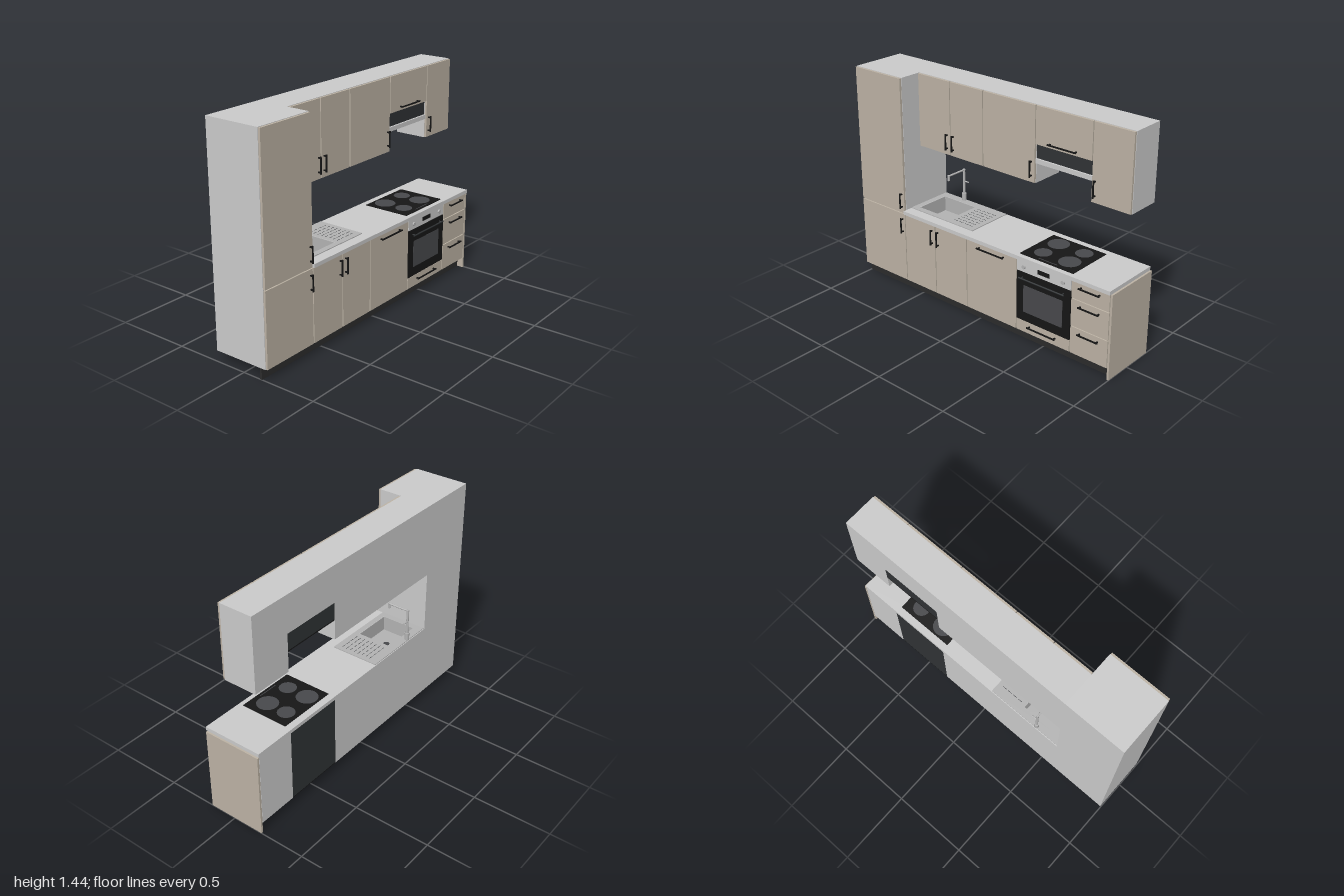
import * as THREE from 'three';

const mat = (color) => new THREE.MeshStandardMaterial({ color });
const GREY = mat(0xcccccc), BEIGE = mat(0xbdb3a5), BLACK = mat(0x161616), DARK = mat(0x303335);
const PLINTH = mat(0x2c2c2c), GLASS = mat(0x48494c), STEEL = mat(0xb4b4b4);
const BACK = -0.205, BASE_Z = 0.178, WALL_Z = 0.025; // back plane, faces of base and wall doors
const DOOR = 0.014, GAP = 0.003;

export function createModel() {
  const model = new THREE.Group();

  const add = (name, geometry, material, x = 0, y = 0, z = 0, parent = model) => {
    const mesh = new THREE.Mesh(geometry, material);
    mesh.name = name;
    mesh.position.set(x, y, z);
    parent.add(mesh);
    return mesh;
  };
  // box given by its limits on each axis
  const box = (name, material, x0, x1, y0, y1, z0, z1, parent) =>
    add(name, new THREE.BoxGeometry(x1 - x0, y1 - y0, z1 - z0), material,
      (x0 + x1) / 2, (y0 + y1) / 2, (z0 + z1) / 2, parent);
  const rod = (name, material, r, length, x, y, z, axis = 'y', parent = model) => {
    const mesh = add(name, new THREE.CylinderGeometry(r, r, length, 24), material, x, y, z, parent);
    if (axis === 'x') mesh.rotation.z = Math.PI / 2;
    if (axis === 'z') mesh.rotation.x = Math.PI / 2;
    return mesh;
  };
  // horizontal slab with a rectangular hole: limits are [x0, x1, z0, z1]
  const slabWithHole = (name, material, [x0, x1, z0, z1], [a0, a1, b0, b1], y0, y1) => {
    const rect = (P, l, r, n, f) => {
      const p = new P();
      p.moveTo(l, -n); p.lineTo(r, -n); p.lineTo(r, -f); p.lineTo(l, -f); p.closePath();
      return p;
    };
    const shape = rect(THREE.Shape, x0, x1, z0, z1);
    shape.holes.push(rect(THREE.Path, a0, a1, b0, b1));
    const g = new THREE.ExtrudeGeometry(shape, { depth: y1 - y0, bevelEnabled: false });
    g.rotateX(-Math.PI / 2);
    return add(name, g, material, 0, y0, 0);
  };
  const front = (name, x0, x1, y0, y1, z) =>
    box(name, BEIGE, x0 + GAP, x1 - GAP, y0 + GAP, y1 - GAP, z - DOOR, z);
  // bar handle on two posts
  const handle = (x, y, z, length, vertical) => {
    const g = new THREE.Group();
    g.name = 'handle';
    const t = 0.004, h = length / 2;
    box('handleBar', BLACK, -h, h, -t, t, 0.015, 0.022, g);
    for (const s of [-1, 1]) {
      const p = s * (h - 0.01);
      box('handlePost', BLACK, p - t, p + t, -t, t, 0, 0.016, g);
    }
    g.position.set(x, y, z);
    if (vertical) g.rotation.z = Math.PI / 2;
    model.add(g);
  };

  // tall cabinet
  box('tallCabinet', GREY, -1, -0.605, 0.07, 1.44, BACK, BASE_Z - DOOR);
  front('tallLowerDoor', -1, -0.605, 0.07, 0.545, BASE_Z);
  front('tallUpperDoor', -1, -0.605, 0.545, 1.44, BASE_Z);
  handle(-0.627, 0.462, BASE_Z, 0.106, true);
  handle(-0.627, 0.634, BASE_Z, 0.106, true);

  // wall cabinets
  box('wallCabinet', GREY, -0.605, 0.322, 0.965, 1.44, BACK, WALL_Z - DOOR);
  box('hoodCabinet', GREY, 0.322, 0.72, 1.205, 1.44, BACK, WALL_Z - DOOR);
  box('wallCabinetRight', GREY, 0.72, 0.985, 0.965, 1.44, BACK, WALL_Z - DOOR);
  for (const [x0, x1, y0] of [[-0.605, -0.34, 0.965], [-0.34, -0.075, 0.965], [-0.075, 0.322, 0.965],
    [0.322, 0.72, 1.205], [0.72, 0.985, 0.965]]) front('wallDoor', x0, x1, y0, 1.44, WALL_Z);
  for (const x of [-0.365, -0.315, 0.297, 0.745]) handle(x, 1.053, WALL_Z, 0.106, true);
  handle(0.52, 1.232, WALL_Z, 0.2, false);

  // extractor hood
  box('hoodBody', DARK, 0.323, 0.719, 1.1, 1.205, BACK, 0.008);
  box('hoodUnderside', BLACK, 0.323, 0.719, 1.092, 1.1, BACK, 0.008);
  box('hoodFrontStrip', GREY, 0.323, 0.719, 1.09, 1.118, 0.006, 0.02);

  // sink cabinet, open at the top for the bowl
  const inner = BASE_Z - DOOR;
  box('sinkCabinetFloor', GREY, -0.605, -0.075, 0.07, 0.085, BACK, inner);
  box('sinkCabinetBack', GREY, -0.605, -0.075, 0.085, 0.545, BACK, BACK + 0.01);
  box('sinkCabinetSide', GREY, -0.605, -0.595, 0.085, 0.545, BACK + 0.01, inner);
  box('sinkCabinetSide', GREY, -0.085, -0.075, 0.085, 0.545, BACK + 0.01, inner);
  box('sinkCabinetRail', GREY, -0.595, -0.085, 0.5, 0.545, inner - 0.01, inner);

  // remaining base cabinets
  box('baseCabinet', GREY, -0.075, 0.322, 0.07, 0.545, BACK, inner);
  box('drawerCabinet', GREY, 0.72, 0.985, 0.07, 0.545, BACK, inner);
  front('sinkDoor', -0.605, -0.34, 0.07, 0.545, BASE_Z);
  front('sinkDoor', -0.34, -0.075, 0.07, 0.545, BASE_Z);
  front('baseDoor', -0.075, 0.322, 0.07, 0.545, BASE_Z);
  handle(-0.365, 0.462, BASE_Z, 0.106, true);
  handle(-0.315, 0.462, BASE_Z, 0.106, true);
  handle(0.125, 0.515, BASE_Z, 0.21, false);
  for (const [y0, y1, hy] of [[0.07, 0.25, 0.218], [0.25, 0.43, 0.395], [0.43, 0.545, 0.515]]) {
    front('drawerFront', 0.72, 0.985, y0, y1, BASE_Z);
    handle(0.852, hy, BASE_Z, 0.145, false);
  }
  box('endPanel', BEIGE, 0.987, 1, 0, 0.545, BACK, BASE_Z);
  box('plinth', PLINTH, -1, 0.987, 0, 0.07, 0.122, 0.135);

  // oven
  box('ovenBody', DARK, 0.322, 0.72, 0.075, 0.545, BACK, inner);
  box('ovenUnderside', BLACK, 0.322, 0.72, 0.07, 0.075, BACK, inner);
  front('ovenDrawerFront', 0.322, 0.72, 0.07, 0.15, BASE_Z);
  handle(0.52, 0.12, BASE_Z, 0.21, false);
  box('ovenDoor', BLACK, 0.325, 0.717, 0.15, 0.468, inner, BASE_Z + 0.002);
  box('ovenWindow', GLASS, 0.376, 0.664, 0.21, 0.388, BASE_Z, BASE_Z + 0.003);
  box('ovenControlPanel', GREY, 0.325, 0.717, 0.472, 0.542, inner, BASE_Z);
  box('ovenDisplay', BLACK, 0.477, 0.565, 0.494, 0.522, BASE_Z - 0.002, BASE_Z + 0.001);
  for (const x of [0.378, 0.664]) rod('ovenKnob', STEEL, 0.012, 0.012, x, 0.507, BASE_Z + 0.004, 'z');
  rod('ovenHandle', DARK, 0.005, 0.33, 0.52, 0.437, 0.2, 'x');
  for (const x of [0.37, 0.67]) rod('ovenHandlePost', DARK, 0.004, 0.022, x, 0.437, 0.19, 'z');

  // worktop and sink
  const bowl = [-0.565, -0.295, -0.15, 0.085];
  slabWithHole('worktop', GREY, [-0.605, 0.988, BACK, 0.189], bowl, 0.545, 0.569);
  slabWithHole('sinkRim', STEEL, [-0.602, -0.08, -0.2, 0.12], bowl, 0.569, 0.574);
  const [bx0, bx1, bz0, bz1] = bowl, floorY = 0.475, w = 0.004;
  box('bowlFloor', STEEL, bx0, bx1, floorY - w, floorY, bz0, bz1);
  for (const x of [bx0, bx1 - w]) box('bowlSide', STEEL, x, x + w, floorY, 0.573, bz0, bz1);
  for (const z of [bz0, bz1 - w]) box('bowlWall', STEEL, bx0 + w, bx1 - w, floorY, 0.573, z, z + w);
  rod('drain', GLASS, 0.02, 0.003, (bx0 + bx1) / 2, floorY + 0.001, (bz0 + bz1) / 2);
  for (let row = 0; row < 8; row++) for (let i = 0; i < 4; i++) {
    const x = -0.265 + i * 0.041, z = -0.135 + row * 0.03;
    box('drainerGroove', GLASS, x, x + 0.03, 0.573, 0.5748, z, z + 0.003);
  }

  // tap
  const tx = -0.43, tz = -0.189;
  rod('tapBase', STEEL, 0.015, 0.05, tx, 0.597, tz);
  rod('tapColumn', STEEL, 0.008, 0.17, tx, 0.703, tz);
  rod('tapSpout', STEEL, 0.006, 0.152, tx, 0.783, -0.121, 'z');
  rod('tapOutlet', STEEL, 0.008, 0.036, tx, 0.77, -0.047);
  rod('tapLever', STEEL, 0.004, 0.042, tx + 0.02, 0.706, tz, 'x');

  // hob
  box('hobGlass', BLACK, 0.328, 0.715, 0.568, 0.573, -0.16, 0.157);
  for (const [x, z, r] of [[0.428, 0.065, 0.054], [0.615, 0.058, 0.067],
    [0.428, -0.082, 0.067], [0.615, -0.082, 0.054]]) rod('hobZone', GLASS, r, 0.002, x, 0.573, z);
  box('hobControls', GLASS, 0.455, 0.588, 0.572, 0.574, 0.136, 0.141);

  return model;
}
